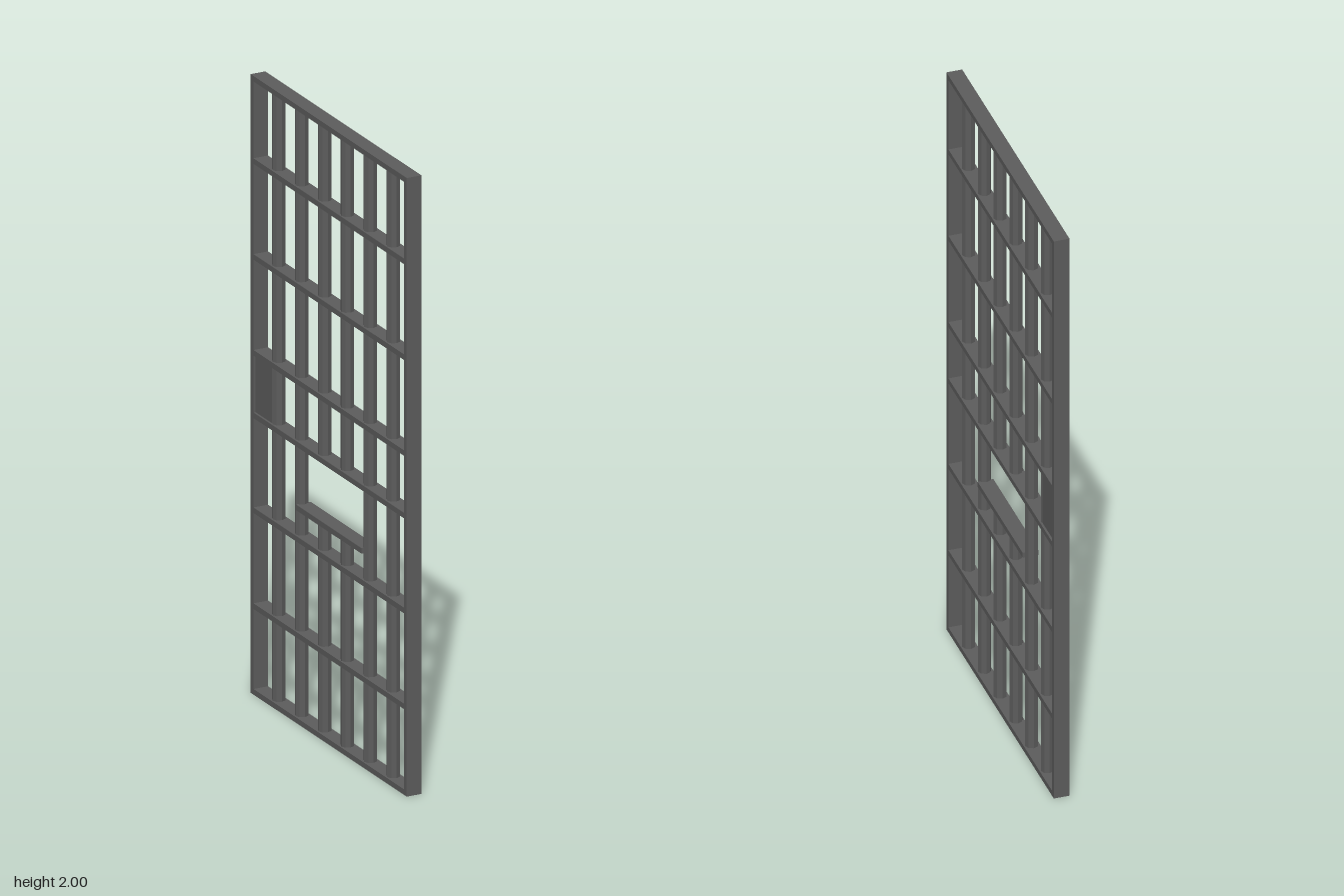
import * as THREE from 'three';

export function createModel() {
  const model = new THREE.Group();
  model.name = 'barredDoor';
  const steel = new THREE.MeshStandardMaterial({ color: 0x5c5c5c });
  steel.name = 'dark grey steel';

  const depth = 0.05, thick = 0.018;

  const add = (name, geometry, x, y, z) => {
    const mesh = new THREE.Mesh(geometry, steel);
    mesh.name = name;
    mesh.position.set(x, y, z);
    model.add(mesh);
  };
  const box = (name, w, h, d, y, z) => add(name, new THREE.BoxGeometry(w, h, d), 0, y, z);

  // Outer frame
  for (const s of [1, -1]) box('sidePost', depth, 2, thick, 1, s * (0.5 - thick / 2));
  for (const y of [thick / 2, 2 - thick / 2]) box('frameRail', depth, thick, 1 - 2 * thick, y, 0);

  // Flat cross rails
  for (const y of [0.286, 0.596, 0.903, 1.105, 1.415, 1.725]) {
    box('crossRail', depth, thick, 1 - 2 * thick, y, 0);
  }

  // Ledge under the hatch opening
  box('hatchLedge', depth, thick, 0.42, 0.697, 0);

  // Round upright bars; the middle pair is interrupted by the hatch
  const bar = (z, y0, y1) => {
    const geometry = new THREE.CylinderGeometry(0.021, 0.021, y1 - y0, 8).toNonIndexed();
    geometry.computeVertexNormals();
    add('uprightBar', geometry, 0, (y0 + y1) / 2, z);
  };
  for (const s of [1, -1]) {
    bar(s * 0.367, 0.01, 1.99);
    bar(s * 0.22, 0.01, 1.99);
    bar(s * 0.073, 0.01, 0.697);
    bar(s * 0.073, 0.903, 1.99);
  }

  // Lock box between two rails, against the rear post
  box('lockBox', 0.036, 0.202, 0.114, 1.004, -0.433);

  return model;
}
